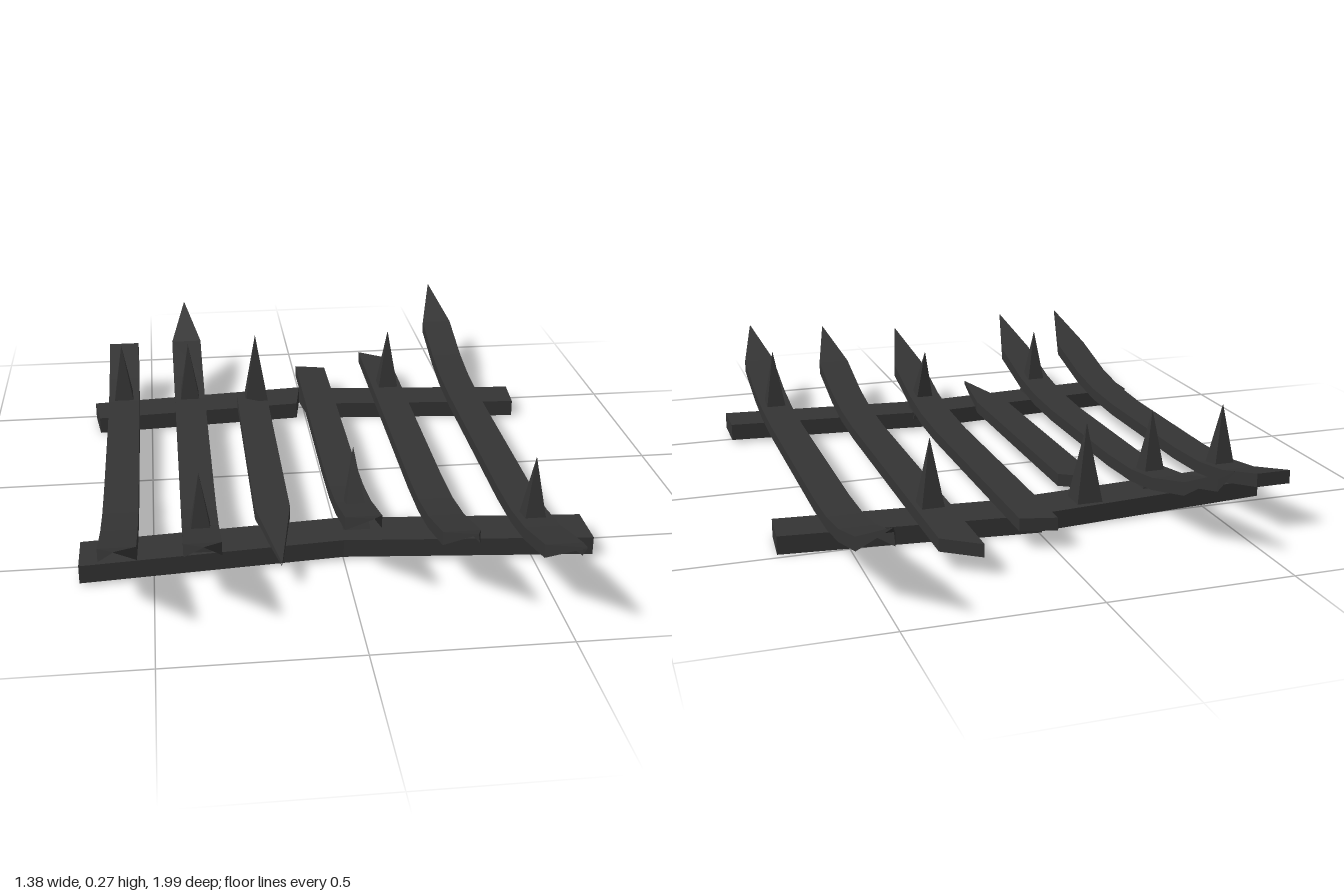
import * as THREE from 'three';

const iron = new THREE.MeshStandardMaterial({ color: 0x343434, side: THREE.DoubleSide });
iron.name = 'darkIron';

const TOP = 0.085, HALF = 0.048;

// Open-bottomed channel: each station holds top corners l, r and the wall height d
function channel(stations, capStart, capEnd) {
  const pos = [];
  const quad = (a, b, c, d) => pos.push(...a, ...b, ...c, ...a, ...c, ...d);
  const low = (p, d) => [p[0], p[1] - d, p[2]];
  for (let i = 0; i < stations.length - 1; i++) {
    const s = stations[i], t = stations[i + 1];
    quad(s.l, t.l, t.r, s.r);
    quad(s.l, low(s.l, s.d), low(t.l, t.d), t.l);
    quad(s.r, t.r, low(t.r, t.d), low(s.r, s.d));
  }
  const s = stations[0], e = stations[stations.length - 1];
  if (capStart) quad(s.l, s.r, low(s.r, s.d), low(s.l, s.d));
  if (capEnd) quad(e.l, low(e.l, e.d), low(e.r, e.d), e.r);
  const g = new THREE.BufferGeometry();
  g.setAttribute('position', new THREE.Float32BufferAttribute(pos, 3));
  g.computeVertexNormals();
  return g;
}

// Upswept end, measured back from the point: distance, height, half width, wall
const SWEEP = [
  [0.66, TOP, HALF, 0.035], [0.5, 0.093, HALF, 0.035], [0.36, 0.115, HALF, 0.035],
  [0.17, 0.168, HALF, 0.037], [0, 0.25, 0.001, 0.002],
];
const FLAT = [[0.29, TOP, HALF, 0.035], [0, 0.075, 0.001, 0.01]];

const station = (x, z, [, y, w, d], skew = 0) => ({
  l: [x - w, y, z - skew], r: [x + w, y, z + skew], d,
});
const sweep = (x, tip, rows) =>
  rows.map((row) => station(x, Math.sign(tip) * (Math.abs(tip) - row[0]), row));

// Bars: x, front point, back end and its type (point, cut or broken with a skew)
const BARS = [
  { x: -0.585, front: 0.885, back: -0.895, end: 'cut' },
  { x: -0.375, front: 0.885, back: -0.895, end: 'point' },
  { x: -0.175, front: 0.67, back: -0.38, end: 'broken', skew: 0.03, flat: true },
  { x: 0.04, front: 0.79, back: -0.648, end: 'broken', skew: 0.012 },
  { x: 0.273, front: 0.897, back: -0.735, end: 'broken', skew: 0.035 },
  { x: 0.51, front: 0.99, back: -0.995, end: 'point' },
];

// Spikes: x, z and backward lean
const SPIKES = [
  [-0.585, -0.43, 0], [-0.375, -0.42, 0], [-0.157, -0.478, 0], [0.276, -0.468, 0],
  [-0.375, 0.527, 0], [0.042, 0.45, -0.22], [0.51, 0.532, 0],
];

export function createModel() {
  const model = new THREE.Group();
  const add = (geometry, name) => {
    const mesh = new THREE.Mesh(geometry, iron);
    mesh.name = name;
    model.add(mesh);
    return mesh;
  };

  // Long bars
  for (const b of BARS) {
    let back;
    if (b.end === 'broken') {
      back = [station(b.x, b.back, SWEEP[0], b.skew)];
    } else {
      back = sweep(b.x, b.back, b.end === 'cut' ? SWEEP.slice(0, 4) : SWEEP).reverse();
    }
    const front = sweep(b.x, b.front, b.flat ? FLAT : SWEEP);
    add(channel([...back, ...front], b.end !== 'point', false), 'bar');
  }

  // Cross beams: x and z of the front edge, then of the back edge
  const beam = (rows, top, name) => add(channel(rows.map(([fx, fz, bx, bz]) => (
    { l: [fx, top, fz], r: [bx, top, bz], d: 0.05 })), true, true), name);
  beam([[-0.69, 0.6, -0.69, 0.47], [0, 0.54, 0, 0.412], [0.66, 0.6, 0.66, 0.467]],
    0.058, 'frontBeam');
  beam([[-0.663, -0.357, -0.68, -0.482], [-0.03, -0.407, -0.008, -0.545]],
    0.054, 'backBeamRight');
  beam([[0.01, -0.41, -0.008, -0.545], [0.675, -0.355, 0.685, -0.48]],
    0.05, 'backBeamLeft');

  // Four-sided spikes
  const cone = new THREE.ConeGeometry(0.053, 0.225, 4).rotateY(Math.PI / 4)
    .translate(0, 0.1125, 0).toNonIndexed();
  cone.computeVertexNormals();
  for (const [x, z, lean] of SPIKES) {
    const spike = add(cone, 'spike');
    spike.position.set(x, 0.045, z);
    spike.rotation.x = lean;
  }
  return model;
}
